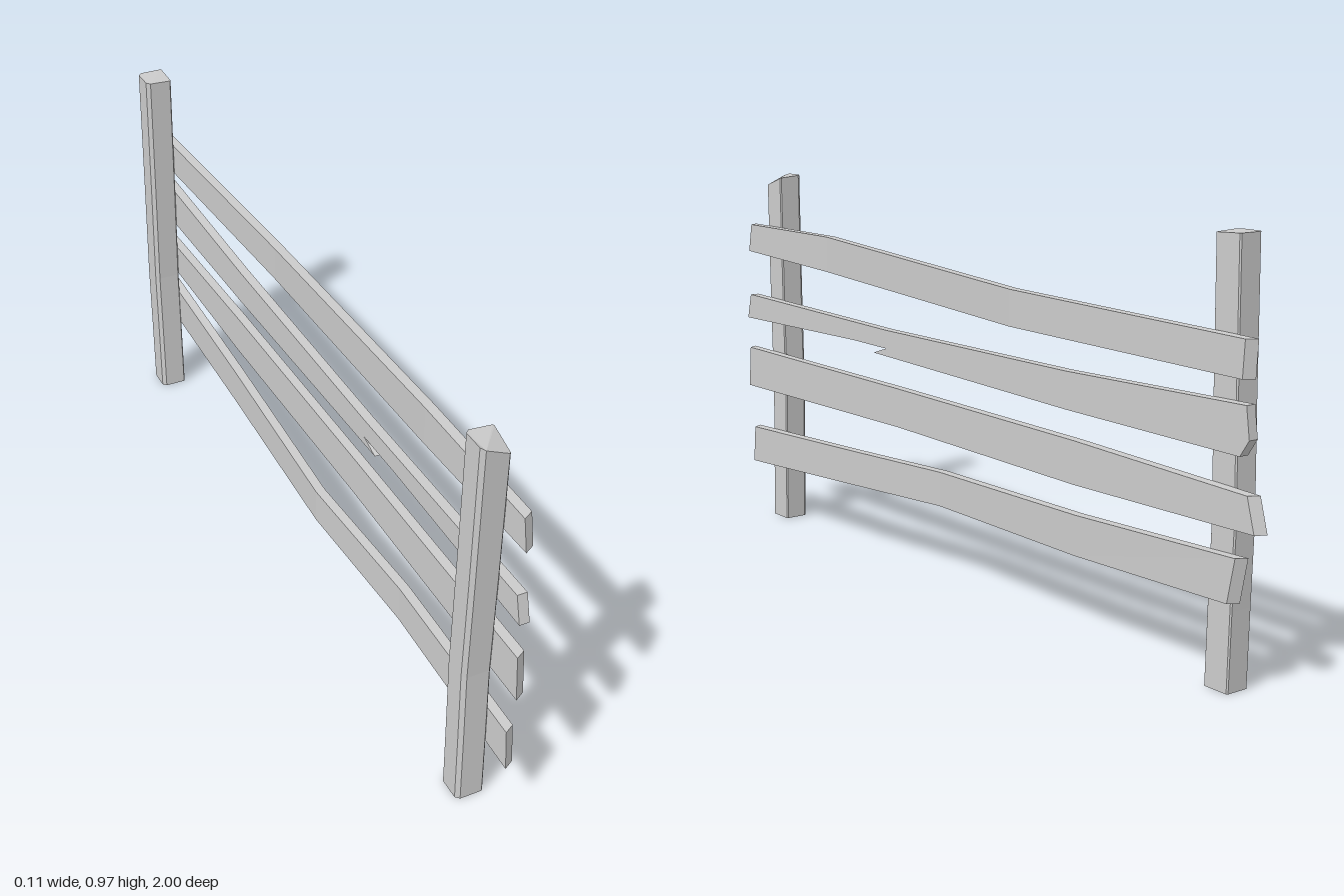
import * as THREE from 'three';

const material = new THREE.MeshStandardMaterial({ color: 0xcccccc, flatShading: true });

// Skin a list of equal-sized rings (counter-clockwise seen from the first end) and cap both ends.
function loft(rings) {
  const n = rings[0].length;
  const pos = [];
  const tri = (a, b, c) => pos.push(...a, ...b, ...c);
  for (let k = 0; k < rings.length - 1; k++) {
    for (let i = 0; i < n; i++) {
      const j = (i + 1) % n;
      const a = rings[k][i], b = rings[k][j], c = rings[k + 1][j], d = rings[k + 1][i];
      tri(a, d, c);
      tri(a, c, b);
    }
  }
  const first = rings[0], last = rings[rings.length - 1];
  for (let i = 1; i < n - 1; i++) {
    tri(first[0], first[i], first[i + 1]);
    tri(last[0], last[i + 1], last[i]);
  }
  const g = new THREE.BufferGeometry();
  g.setAttribute('position', new THREE.Float32BufferAttribute(pos, 3));
  g.computeVertexNormals();
  return g;
}

const BACK = 0.013, THICK = 0.024;

// Stations run from +z to -z: [z at bottom, z at top, bottom y, top y, sideways bend]
function plank(stations) {
  const end = stations.length - 1;
  return loft(stations.map(([zb, zt, b, t, bend], i) => {
    const x0 = BACK + bend, x1 = x0 + THICK;
    const inset = i === 0 ? -0.014 : i === end ? 0.014 : 0; // slanted saw cut
    return [[x0, b, zb], [x1, b, zb + inset], [x1, t, zt + inset], [x0, t, zt]];
  }));
}

// Square post with chamfered corners, a slight wave and a sloping top
function post(z, topAt) {
  const x0 = -0.053, x1 = 0.013, h = 0.035, c = 0.009, e = 0.003;
  const outline = [
    [x0 + c, h], [x1 - e, h], [x1, h - e], [x1, -h + e],
    [x1 - e, -h], [x0 + c, -h], [x0, -h + c], [x0, h - c],
  ];
  const levels = [[1, 0], [0.62, -0.004], [0.36, -0.009], [0.18, -0.004], [0, 0]];
  return loft(levels.map(([y, dz]) => outline.map(([x, w]) => [
    x, y === 1 ? topAt((x - x0) / (x1 - x0), (w + h) / (2 * h)) : y, z + w + dz,
  ])));
}

// Broken plank: flat board with a splintered step in its lower edge, outlined as [z, y]
function brokenPlank() {
  const outline = [
    [0.985, 0.56], [0.45, 0.567], [0.30, 0.565], [0.355, 0.547], [-0.4, 0.525], [-0.94, 0.518],
    [-0.965, 0.555], [-0.955, 0.625], [-0.4, 0.612], [0.3, 0.612], [0.968, 0.627],
  ];
  const shape = new THREE.Shape(outline.map(([z, y]) => new THREE.Vector2(-z, y)));
  const g = new THREE.ExtrudeGeometry(shape, { depth: THICK, bevelEnabled: false });
  g.rotateY(Math.PI / 2);
  g.translate(BACK, 0, 0);
  return g;
}

export function createModel() {
  const group = new THREE.Group();
  const add = (name, geometry) => {
    const mesh = new THREE.Mesh(geometry, material);
    mesh.name = name;
    group.add(mesh);
  };

  // Posts
  add('frontPost', post(0.87, (u, v) => 0.966 - u * (0.006 + 0.023 * v)));
  add('backPost', post(-0.867, (u, v) => 0.96 - 0.003 * u * v));

  // Rails, top to bottom
  add('topPlank', plank([
    [0.985, 0.97, 0.75, 0.825, 0],
    [0.57, 0.57, 0.732, 0.824, 0],
    [-0.22, -0.22, 0.69, 0.776, 0.016],
    [-0.955, -0.96, 0.675, 0.757, 0],
  ]));
  add('brokenPlank', brokenPlank());
  add('lowerPlank', plank([
    [1.0, 0.99, 0.365, 0.475, 0],
    [0.25, 0.25, 0.37, 0.469, 0],
    [-0.43, -0.43, 0.358, 0.459, 0],
    [-1.0, -0.978, 0.365, 0.442, 0],
  ]));
  add('bottomPlank', plank([
    [0.985, 0.975, 0.147, 0.247, 0],
    [0.5, 0.5, 0.174, 0.266, -0.003],
    [0.11, 0.11, 0.189, 0.276, -0.028],
    [-0.43, -0.43, 0.191, 0.286, -0.008],
    [-0.93, -0.95, 0.205, 0.306, 0],
  ]));

  return group;
}
